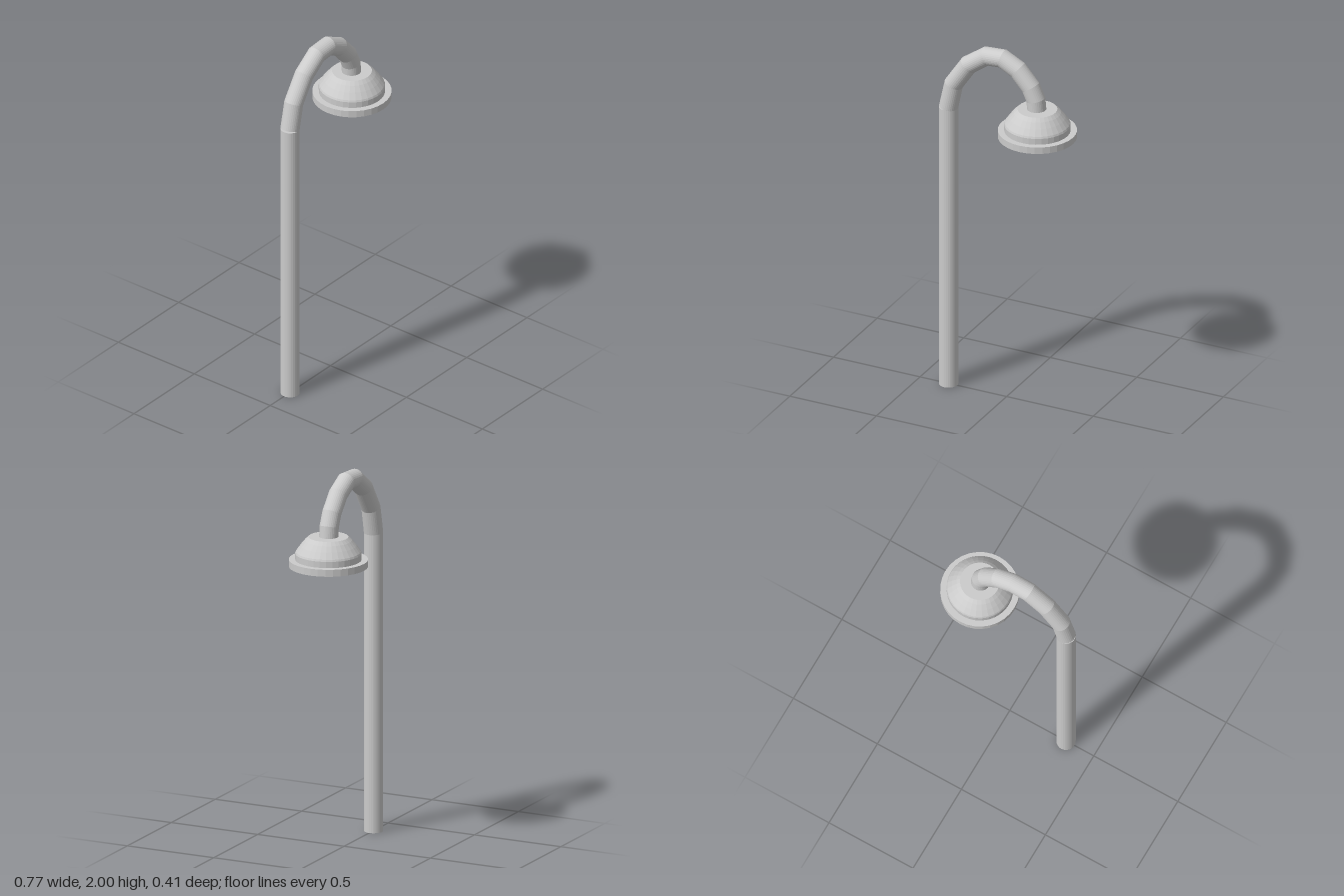
import * as THREE from 'three';

export function createModel() {
  const group = new THREE.Group();
  const material = new THREE.MeshStandardMaterial({ color: 0xcccccc, flatShading: true });
  const add = (name, geometry, x = 0, y = 0) => {
    const mesh = new THREE.Mesh(geometry, material);
    mesh.name = name;
    mesh.position.set(x, y, 0);
    group.add(mesh);
  };
  const v2 = ([x, y]) => new THREE.Vector2(x, y);
  const radius = 0.05, poleX = -0.335, lampX = 0.178;

  // Straight upright
  add('pole', new THREE.CylinderGeometry(radius, radius, 1.6, 32), poleX, 0.8);

  // Bent neck, one straight tube section between each pair of points
  const path = [
    [poleX, 1.6], [-0.305, 1.74], [-0.219, 1.868], [-0.115, 1.942], [-0.022, 1.948],
    [0.067, 1.902], [0.14, 1.82], [0.169, 1.755], [0.175, 1.69],
  ].map(([x, y]) => new THREE.Vector3(x, y, 0));
  const curve = new THREE.CatmullRomCurve3(path);
  curve.getPointAt = (t, target) => curve.getPoint(t, target);
  curve.getTangentAt = (t, target) => curve.getTangent(t, target);
  add('neck', new THREE.TubeGeometry(curve, path.length - 1, radius, 32));

  // Bell-shaped shade with a hollow lamp socket underneath
  const shade = [
    [0, 1.63], [0.13, 1.63], [0.13, 1.568], [0.19, 1.568], [0.19, 1.582],
    [0.172, 1.582], [0.172, 1.615], [0.168, 1.625], [0.145, 1.657],
    [0.122, 1.685], [0.103, 1.703], [0, 1.703],
  ].map(v2);
  add('shade', new THREE.LatheGeometry(shade, 32), lampX);

  // Flat rim around the bottom of the shade
  const rim = [
    [0.187, 1.582], [0.187, 1.545], [0.205, 1.545], [0.205, 1.582], [0.165, 1.582],
  ].map(v2);
  add('rim', new THREE.LatheGeometry(rim, 32), lampX);

  return group;
}
